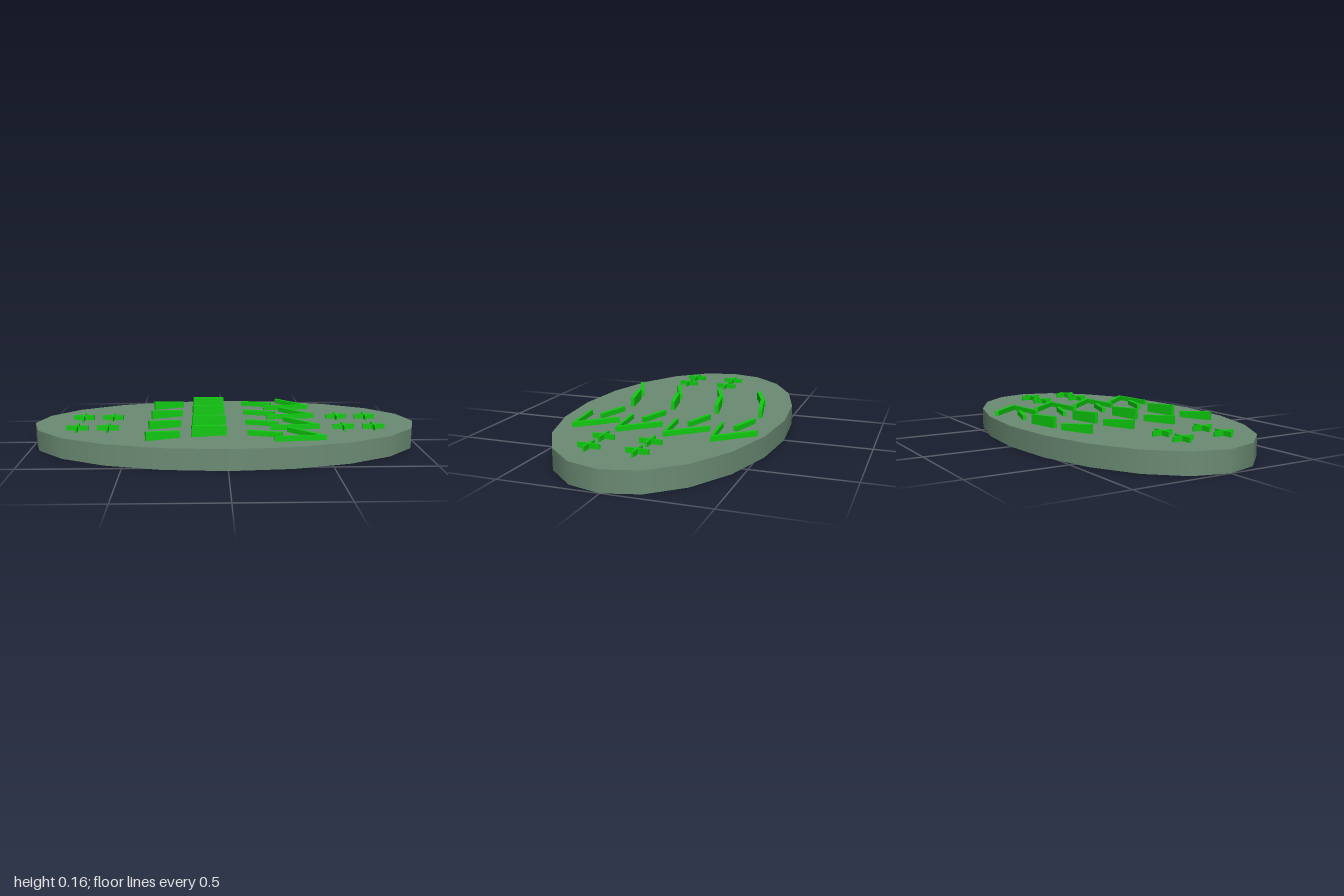
import * as THREE from 'three';

const BASE_TOP = 0.105;
const MARK_TOP = 0.13;
const baseMat = new THREE.MeshStandardMaterial({ color: 0x6b8b74 });
const markMat = new THREE.MeshStandardMaterial({ color: 0x0fcb0f });

// Upright strip from (x0, z0) to (x1, z1) whose top runs from height h0 to h1
function strip(name, [x0, z0], [x1, z1], h0, h1, width) {
  const length = Math.hypot(x1 - x0, z1 - z0);
  const geo = new THREE.BoxGeometry(length, 1, width);
  const pos = geo.attributes.position;
  for (let i = 0; i < pos.count; i++) {
    const top = pos.getX(i) < 0 ? h0 : h1;
    pos.setY(i, pos.getY(i) > 0 ? top : BASE_TOP - 0.005);
  }
  geo.computeVertexNormals();
  const mesh = new THREE.Mesh(geo, markMat);
  mesh.name = name;
  mesh.position.set((x0 + x1) / 2, 0, (z0 + z1) / 2);
  mesh.rotation.y = -Math.atan2(z1 - z0, x1 - x0);
  return mesh;
}

// Angled ridge with a sharp mitred tip
function chevron() {
  const outline = [[0.305, -0.48], [0.315, -0.495], [0.48, -0.312],
    [0.225, -0.285], [0.225, -0.3], [0.445, -0.32]];
  const shape = new THREE.Shape(outline.map(([x, z]) => new THREE.Vector2(x, -z)));
  const geo = new THREE.ExtrudeGeometry(shape, { depth: MARK_TOP - BASE_TOP + 0.005, bevelEnabled: false });
  geo.rotateX(-Math.PI / 2);
  const mesh = new THREE.Mesh(geo, markMat);
  mesh.name = 'chevron';
  mesh.position.y = BASE_TOP - 0.005;
  return mesh;
}

// Small plus made of two thin crossed strips
function cross(x, z) {
  const group = new THREE.Group();
  group.name = 'cross';
  const r = 0.055;
  group.add(
    strip('crossBarWide', [x - r, z], [x + r, z], MARK_TOP, MARK_TOP, 0.01),
    strip('crossBarDeep', [x, z - r], [x, z + r], MARK_TOP, MARK_TOP, 0.01),
  );
  return group;
}

export function createModel() {
  const model = new THREE.Group();
  model.name = 'ovalPlate';

  // Oval base: a 20-sided disc squashed along z
  const baseGeo = new THREE.CylinderGeometry(1, 1, BASE_TOP, 20);
  baseGeo.scale(1, 1, 0.555);
  const base = new THREE.Mesh(baseGeo, baseMat);
  base.name = 'base';
  base.position.y = BASE_TOP / 2;
  model.add(base);

  // Four arched rows of dashes, each ending in a chevron
  for (const offset of [0, 0.235, 0.478, 0.71]) {
    const row = new THREE.Group();
    row.name = 'dashRow';
    row.position.z = offset;
    row.add(
      strip('outerDash', [-0.393, -0.32], [-0.232, -0.387], 0.149, 0.136, 0.02),
      strip('middleDash', [-0.173, -0.395], [0, -0.427], 0.161, 0.152, 0.02),
      strip('innerDash', [0.105, -0.422], [0.272, -0.372], MARK_TOP, MARK_TOP, 0.02),
      chevron(),
    );
    model.add(row);
  }

  // Crosses at both ends
  for (const x of [-0.754, -0.599, 0.599, 0.754]) {
    for (const z of [-0.066, 0.17]) model.add(cross(x, z));
  }
  return model;
}
